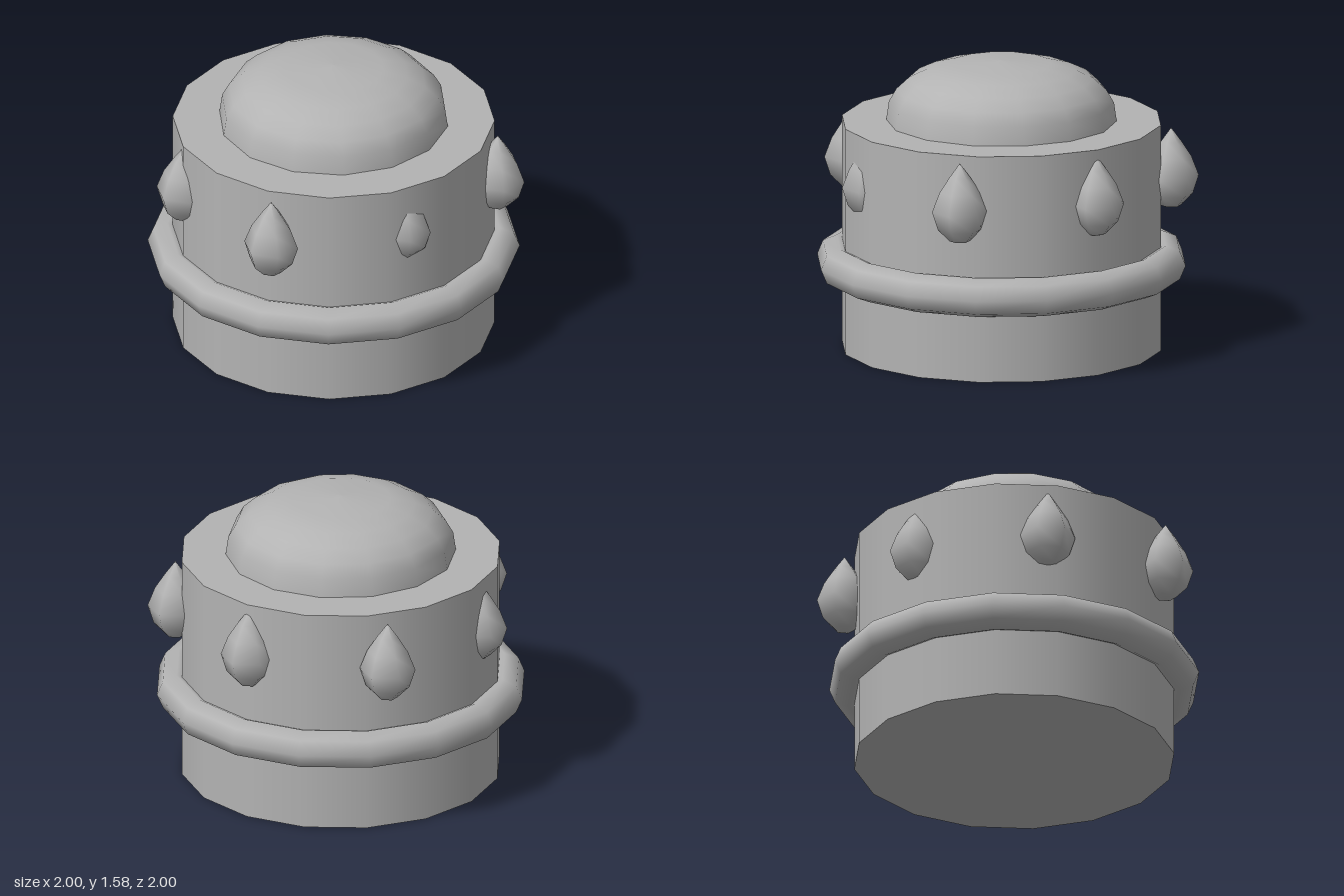
import * as THREE from 'three';

export function createModel() {
  const model = new THREE.Group();
  const grey = new THREE.MeshStandardMaterial({ color: 0xb3b3b3 });
  grey.name = 'plain grey';

  const add = (name, geometry, x = 0, y = 0, z = 0) => {
    const mesh = new THREE.Mesh(geometry, grey);
    mesh.name = name;
    mesh.position.set(x, y, z);
    model.add(mesh);
    return mesh;
  };

  // Turned shape with a corner on the +x axis; profile runs bottom to top
  const turned = (profile, sides) => new THREE.LatheGeometry(
    profile.map(([r, y]) => new THREE.Vector2(r, y)), sides, Math.PI / 2);

  // Drum body
  add('body', new THREE.CylinderGeometry(0.865, 0.865, 1.245, 16), 0, 0.6225, 0);

  // Rounded hoop around the body
  const hoop = new THREE.TorusGeometry(0.893, 0.107, 8, 16);
  hoop.rotateX(Math.PI / 2);
  add('hoop', hoop, 0, 0.475, 0);

  // Domed cap
  add('dome', turned([
    [0.62, 1.24], [0.605, 1.345], [0.565, 1.415], [0.497, 1.478],
    [0.4, 1.525], [0.27, 1.56], [0, 1.575],
  ], 14));

  // Seven teardrop studs, part sunk into the body
  const stud = turned([
    [0, -0.175], [0.055, -0.163], [0.118, -0.1], [0.15, 0],
    [0.11, 0.105], [0.055, 0.19], [0, 0.265],
  ], 6);
  [
    [0.85, 0], [0.555, 0.695], [-0.185, 0.745], [-0.825, 0.385],
    [-0.76, -0.37], [-0.17, -0.795], [0.565, -0.715],
  ].forEach(([x, z], i) => add(`stud${i + 1}`, stud, x, 0.945, z));

  return model;
}
